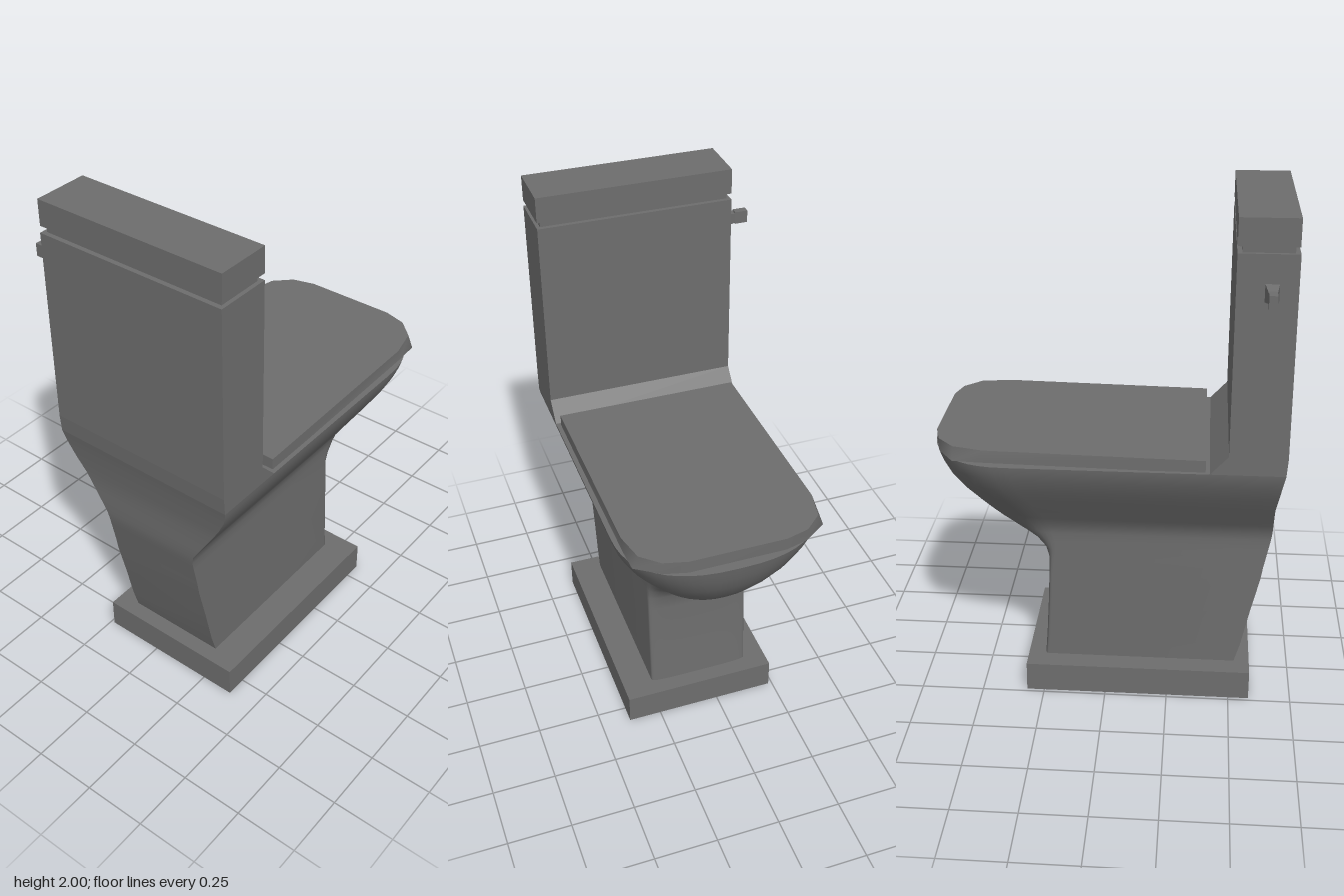
import * as THREE from 'three';
import { toCreasedNormals } from 'three/addons/utils/BufferGeometryUtils.js';

const CZ = 0.0565; // the bowl and tank share this centre line
const material = new THREE.MeshStandardMaterial({ color: 0x6d6d6d });

function part(group, name, geometry) {
  const mesh = new THREE.Mesh(geometry, material);
  mesh.name = name;
  group.add(mesh);
  return mesh;
}

function box(group, name, [x0, x1], [y0, y1], [z0, z1]) {
  const mesh = part(group, name, new THREE.BoxGeometry(x1 - x0, y1 - y0, z1 - z0));
  mesh.position.set((x0 + x1) / 2, (y0 + y1) / 2, (z0 + z1) / 2);
}

// Skin a stack of equal-length convex rings and cap both ends
function loft(rings, crease) {
  const n = rings[0].length, index = [];
  for (let r = 0; r < rings.length - 1; r++) {
    for (let i = 0; i < n; i++) {
      const a = r * n + i, b = r * n + (i + 1) % n;
      index.push(a, b, b + n, a, b + n, a + n);
    }
  }
  const top = (rings.length - 1) * n;
  for (let i = 1; i < n - 1; i++) {
    index.push(0, i + 1, i, top, top + i, top + i + 1);
  }
  const geometry = new THREE.BufferGeometry();
  geometry.setAttribute('position', new THREE.Float32BufferAttribute(rings.flat(2), 3));
  geometry.setIndex(index);
  // enlarged while creasing so that close vertices stay distinct
  geometry.scale(100, 100, 100);
  return toCreasedNormals(geometry, crease).scale(0.01, 0.01, 0.01);
}

// Horizontal section: square back, front rounded over a given length
function bowlRing([y, back, front, half, round, power]) {
  const ring = [[back, y, CZ + half]];
  const steps = 24;
  for (let i = 0; i <= steps; i++) {
    const a = Math.PI / 2 - (Math.PI * i) / steps;
    const s = Math.sin(a), c = Math.max(0, Math.cos(a));
    ring.push([
      front - round + round * Math.pow(c, 2 / power),
      y,
      CZ + half * Math.sign(s) * Math.pow(Math.abs(s), 2 / power),
    ]);
  }
  ring.push([back, y, CZ - half]);
  return ring;
}

// Outline of the seat lid, mirrored about the centre line
function lidRing(y, side) {
  const halfRing = [[-0.38, 0.369], ...side, [0.656, 0.185]];
  const mirrored = halfRing.map(([x, z]) => [x, -z]).reverse();
  return [...halfRing, ...mirrored].map(([x, z]) => [x, y + 0.018 * (x + 0.38), CZ + z]);
}

export function createModel() {
  const group = new THREE.Group();
  group.name = 'toilet';

  // Floor plinth
  box(group, 'plinth', [-0.582, 0.32], [0, 0.12], [-0.235, 0.382]);

  // Pedestal flaring into the bowl: y, back, front, half width, rounding, power
  const sections = [
    [0.12, -0.52, 0.256, 0.205, 0.02, 4],
    [0.2, -0.543, 0.25, 0.205, 0.02, 4],
    [0.35, -0.575, 0.242, 0.205, 0.02, 4],
    [0.5, -0.61, 0.236, 0.205, 0.02, 4],
    [0.56, -0.62, 0.239, 0.205, 0.03, 3.4],
    [0.6, -0.628, 0.262, 0.205, 0.06, 2.6],
    [0.64, -0.636, 0.32, 0.205, 0.115, 2.2],
    [0.68, -0.644, 0.405, 0.205, 0.19, 2.1],
    [0.715, -0.648, 0.465, 0.212, 0.24, 2.1],
    [0.76, -0.648, 0.517, 0.24, 0.275, 2.1],
    [0.8, -0.648, 0.557, 0.265, 0.295, 2.1],
    [0.86, -0.648, 0.606, 0.303, 0.31, 2.2],
    [0.92, -0.656, 0.642, 0.34, 0.315, 2.3],
    [0.98, -0.664, 0.665, 0.37, 0.32, 2.4],
    [1.02, -0.671, 0.675, 0.383, 0.32, 2.5],
    [1.04, -0.675, 0.68, 0.3865, 0.32, 2.5],
  ];
  part(group, 'bowl', loft(sections.map(bowlRing), 0.75));

  // Tank with a sloped foot meeting the bowl
  const profile = new THREE.Shape([
    [-0.675, 1.04], [-0.395, 1.04], [-0.463, 1.113], [-0.463, 1.875],
    [-0.68, 1.875], [-0.68, 1.11],
  ].map(([x, y]) => new THREE.Vector2(x, y)));
  const tank = new THREE.ExtrudeGeometry(profile, { depth: 0.773, bevelEnabled: false });
  part(group, 'tank', tank).position.z = CZ - 0.3865;
  box(group, 'tankNeck', [-0.662, -0.48], [1.87, 1.905], [-0.315, 0.428]);
  box(group, 'tankLid', [-0.677, -0.463], [1.9, 2], [-0.33, 0.443]);

  // Gently tilted seat lid, its front corners trimmed on top
  const lid = [
    lidRing(1.036, [[0.47, 0.369], [0.568, 0.365], [0.632, 0.275]]),
    lidRing(1.086, [[0.45, 0.369], [0.568, 0.343], [0.632, 0.275]]),
  ];
  part(group, 'seatLid', loft(lid, 1));

  // Flush handle on the side of the tank: z, half width, half height
  const handle = [
    [-0.325, 0.026, 0.034],
    [-0.39, 0.015, 0.019],
    [-0.391, 0.015, 0.025],
    [-0.443, 0.015, 0.025],
  ].map(([z, w, h]) => [[1, 1], [1, -1], [-1, -1], [-1, 1]]
    .map(([sx, sy]) => [-0.588 + sx * w, 1.736 + sy * h, z]));
  part(group, 'flushHandle', loft(handle, 0.1));

  return group;
}
